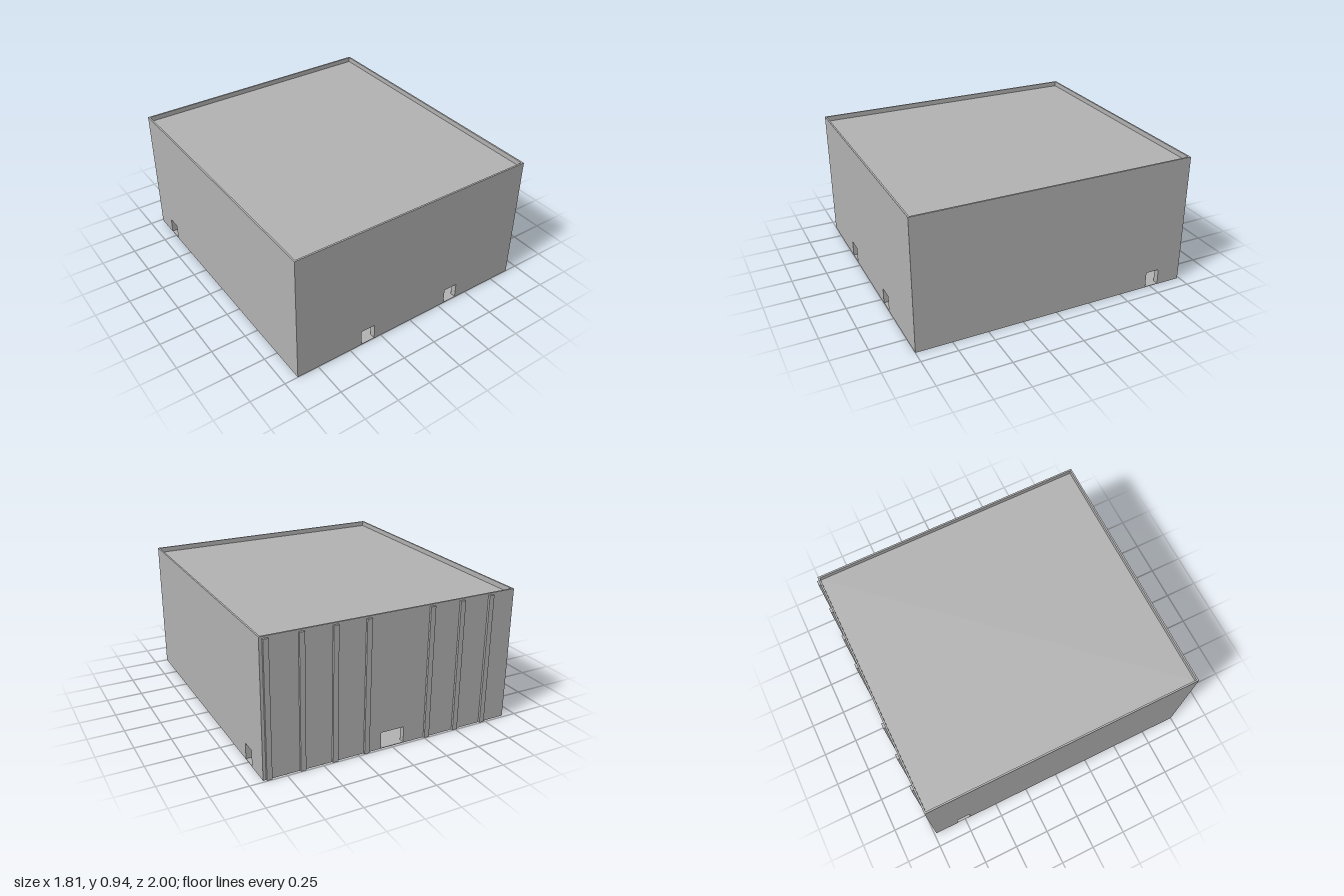
import * as THREE from 'three';

const W = 0.905, FRONT = 1.0, BACK = -0.985, ROOF = 0.905, TOP = 0.94, WALL = 0.04, RIM = 0.012;

export function createModel() {
  const model = new THREE.Group();
  const grey = new THREE.MeshStandardMaterial({ color: 0xb2b2b2 });
  grey.name = 'concrete grey';

  const add = (name, geometry, parent = model) => {
    const mesh = new THREE.Mesh(geometry, grey);
    mesh.name = name;
    parent.add(mesh);
    return mesh;
  };
  // Box given by its lower and upper limits on each axis
  const box = (name, x0, x1, y0, y1, z0, z1, parent) =>
    add(name, new THREE.BoxGeometry(x1 - x0, y1 - y0, z1 - z0)
      .translate((x0 + x1) / 2, (y0 + y1) / 2, (z0 + z1) / 2), parent);

  // Upright wall slab with door notches cut from its bottom edge
  const doorHeight = 0.117;
  const wallSlab = (from, to, doors) => {
    const s = new THREE.Shape();
    s.moveTo(from, 0);
    for (const [a, b] of doors) {
      s.lineTo(a, 0);
      s.lineTo(a, doorHeight);
      s.lineTo(b, doorHeight);
      s.lineTo(b, 0);
    }
    s.lineTo(to, 0);
    s.lineTo(to, ROOF);
    s.lineTo(from, ROOF);
    s.closePath();
    return new THREE.ExtrudeGeometry(s, { depth: WALL, bevelEnabled: false });
  };

  // Outer walls
  add('frontWall', wallSlab(-W, W, [[-0.41, -0.305], [0.3, 0.405]]).translate(0, 0, FRONT - WALL));
  add('backWall', wallSlab(-W, W, [[-0.09, 0.08]]).translate(0, 0, BACK));
  for (const side of [-1, 1]) {
    add(side > 0 ? 'leftWall' : 'rightWall',
      wallSlab(-(FRONT - WALL), -(BACK + WALL), [[0.71, 0.81]])
        .rotateY(Math.PI / 2)
        .translate(side > 0 ? W - WALL : -W, 0, 0));
  }

  // Flat roof inside a thin parapet
  box('roof', -W + RIM, W - RIM, ROOF - 0.01, ROOF, BACK + RIM, FRONT - RIM);
  const parapet = new THREE.Group();
  parapet.name = 'parapet';
  model.add(parapet);
  box('parapetFront', -W, W, ROOF, TOP, FRONT - RIM, FRONT, parapet);
  box('parapetBack', -W, W, ROOF, TOP, BACK, BACK + RIM, parapet);
  box('parapetLeft', W - RIM, W, ROOF, TOP, BACK + RIM, FRONT - RIM, parapet);
  box('parapetRight', -W, -W + RIM, ROOF, TOP, BACK + RIM, FRONT - RIM, parapet);

  // Floor slab with a round opening in the middle
  const slab = new THREE.Shape();
  slab.moveTo(-W + 0.001, -FRONT + 0.001);
  slab.lineTo(W - 0.001, -FRONT + 0.001);
  slab.lineTo(W - 0.001, -BACK - 0.001);
  slab.lineTo(-W + 0.001, -BACK - 0.001);
  slab.closePath();
  const opening = new THREE.Path();
  opening.absarc(0, 0, 0.457, 0, Math.PI * 2, true);
  slab.holes.push(opening);
  add('floor', new THREE.ExtrudeGeometry(slab, { depth: 0.004, bevelEnabled: false, curveSegments: 32 })
    .rotateX(-Math.PI / 2).translate(0, -0.0005, 0));

  // Pilasters on the back, with matching columns inside the front wall
  for (const x of [-0.717, -0.492, -0.265, 0.19, 0.417, 0.64, 0.867]) {
    box('pilaster', x - 0.018, x + 0.018, 0.002, 0.927, -1, BACK + 0.005);
  }
  for (const x of [-0.82, -0.64, 0.64, 0.82]) {
    box('innerColumn', x - 0.018, x + 0.018, 0, ROOF - 0.01, FRONT - WALL - 0.02, FRONT - WALL + 0.005);
  }

  // Raised galleries along both sides, each with an edge beam
  for (const side of [-1, 1]) {
    const gallery = new THREE.Group();
    gallery.name = side > 0 ? 'leftGallery' : 'rightGallery';
    model.add(gallery);
    const inner = side * 0.6, outer = side * (W - WALL / 2);
    box('galleryDeck', Math.min(inner, outer), Math.max(inner, outer), 0.36, 0.375, -0.6, 0.42, gallery);
    box('galleryBeam', inner - 0.012, inner + 0.012, 0.355, 0.4, -0.6, 0.42, gallery);
  }

  // Low railing around the floor opening
  const railing = new THREE.Group();
  railing.name = 'railing';
  model.add(railing);
  add('rail', new THREE.TorusGeometry(0.475, 0.003, 4, 48).rotateX(Math.PI / 2).translate(0, 0.022, 0), railing);
  for (let i = 0; i < 48; i++) {
    const a = (i / 48) * Math.PI * 2;
    const post = add('railPost', new THREE.BoxGeometry(0.005, 0.04, 0.005), railing);
    post.position.set(Math.cos(a) * 0.475, 0.022, Math.sin(a) * 0.475);
    post.rotation.y = -a;
  }
  return model;
}
